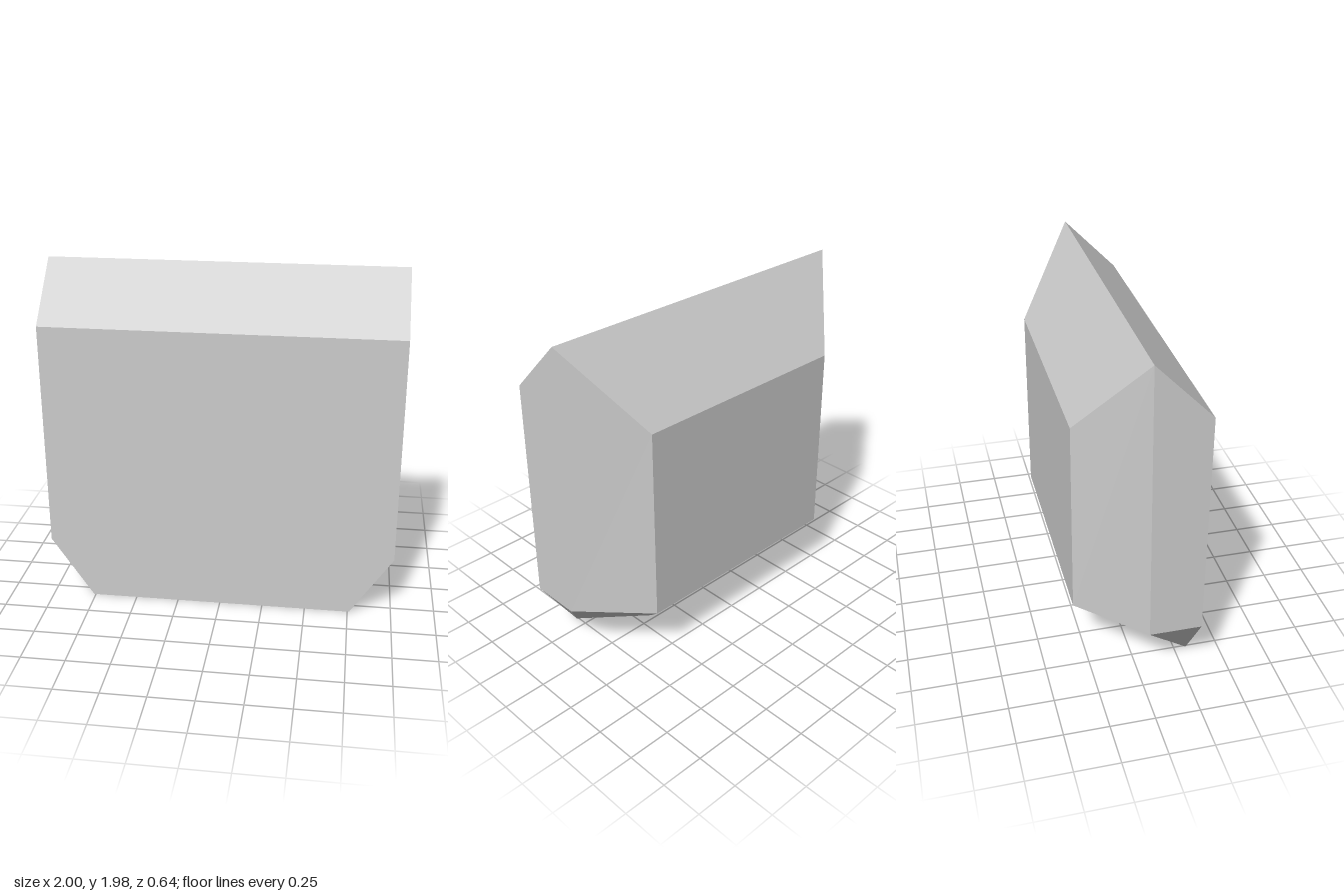
import * as THREE from 'three';

export function createModel() {
  const group = new THREE.Group();
  const grey = new THREE.MeshStandardMaterial({ color: 0xcccccc });
  grey.name = 'light grey';

  // Corners of the left half; the other half is mirrored
  const half = [
    [1, 1.66, 0.32],    // 0 front top
    [1, 0.36, 0.32],    // 1 front low
    [0.76, 0, 0.32],    // 2 front foot
    [1, 1.975, 0.01],   // 3 ridge
    [1, 0.36, 0.03],    // 4 side low
    [0.67, 1.5, -0.32], // 5 back top
    [0.67, 0.36, -0.32],// 6 back low
    [0.42, 0, 0.03],    // 7 back foot
  ];
  const mirrored = half.map(([x, y, z]) => [-x, y, z]);

  const positions = [];
  const addFace = (corners) => {
    for (let i = 1; i < corners.length - 1; i++) {
      positions.push(...corners[0], ...corners[i], ...corners[i + 1]);
    }
  };

  // Chamfered side faces, on both sides
  for (const face of [[1, 4, 3, 0], [1, 2, 4], [4, 6, 5, 3], [4, 2, 7, 6]]) {
    addFace(face.map((i) => half[i]));
    addFace(face.map((i) => mirrored[i]).reverse());
  }

  // Faces spanning the width: front, slopes, back and base
  const loop = [2, 1, 0, 3, 5, 6, 7];
  loop.forEach((a, i) => {
    const b = loop[(i + 1) % loop.length];
    addFace([mirrored[a], half[a], half[b], mirrored[b]]);
  });

  const geometry = new THREE.BufferGeometry();
  geometry.setAttribute('position', new THREE.Float32BufferAttribute(positions, 3));
  geometry.computeVertexNormals();

  const block = new THREE.Mesh(geometry, grey);
  block.name = 'chamferedBlock';
  group.add(block);
  return group;
}
